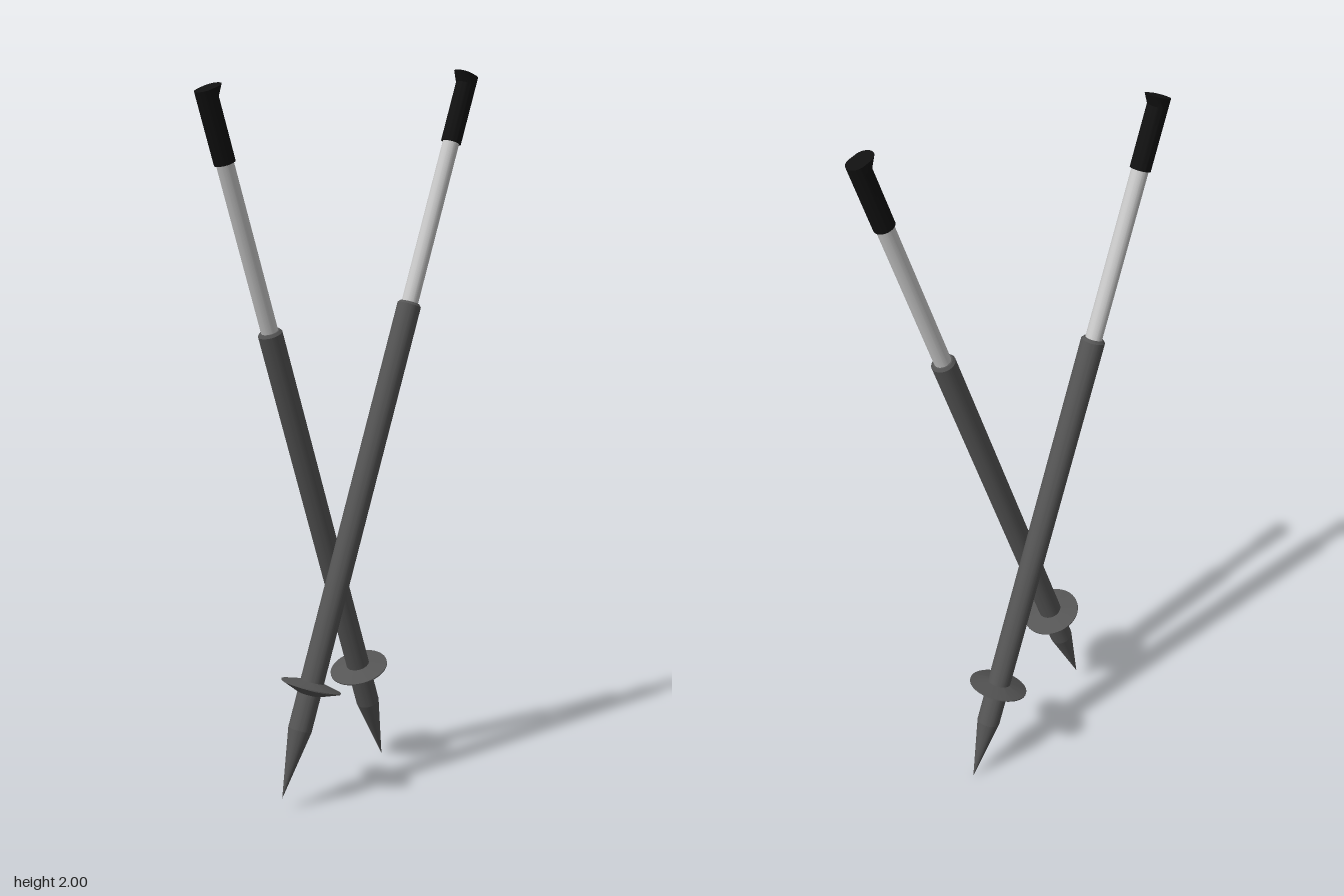
import * as THREE from 'three';
import { toCreasedNormals } from 'three/addons/utils/BufferGeometryUtils.js';

const dark = new THREE.MeshStandardMaterial({ color: 0x555555 });
const black = new THREE.MeshStandardMaterial({ color: 0x111111 });
const grey = new THREE.MeshStandardMaterial({ color: 0xcccccc });

// Turned part from a bottom-to-top profile of [radius, height]
function turned(name, profile, material) {
  const points = profile.map(([r, h]) => new THREE.Vector2(r, h));
  const mesh = new THREE.Mesh(toCreasedNormals(new THREE.LatheGeometry(points, 48), 0.16), material);
  mesh.name = name;
  return mesh;
}

// Grip whose top rim is pulled out to one side as a small beak
function grip(bottom, top) {
  const r = 0.028, beak = 0.019;
  const geometry = new THREE.LatheGeometry(
    [[0, bottom], [r, bottom], [r, top - 0.026], [r, top], [0, top]].map(([x, y]) => new THREE.Vector2(x, y)), 48);
  const p = geometry.attributes.position;
  for (let i = 0; i < p.count; i++) {
    if (p.getY(i) > top - 0.001 && p.getZ(i) > 0.001) p.setZ(i, p.getZ(i) + beak);
  }
  const mesh = new THREE.Mesh(toCreasedNormals(geometry, 0.5), black);
  mesh.name = 'grip';
  return mesh;
}

// One pole from tip to top, with the beak facing the given side
function pole(name, tip, top, beakSide) {
  const group = new THREE.Group();
  group.name = name;
  const axis = top.clone().sub(tip);
  const length = axis.length();
  axis.normalize();

  group.add(
    // Outer tube with its pointed tip
    turned('lowerShaft', [[0, 0], [0.033, 0.195], [0.033, 1.398], [0.027, 1.405], [0, 1.405]], dark),
    // Thin-edged basket
    turned('basket', [[0.03, 0.294], [0.084, 0.315], [0.084, 0.318], [0.03, 0.331]], dark),
    turned('upperShaft', [[0.023, 1.39], [0.023, length - 0.18]], grey),
    grip(length - 0.192, length),
  );

  const side = new THREE.Vector3(0, 0, beakSide);
  side.addScaledVector(axis, -side.dot(axis)).normalize();
  const across = new THREE.Vector3().crossVectors(axis, side);
  group.quaternion.setFromRotationMatrix(new THREE.Matrix4().makeBasis(across, axis, side));
  group.position.copy(tip);
  return group;
}

export function createModel() {
  const model = new THREE.Group();
  model.name = 'trekkingPoles';
  model.add(
    pole('rightPole', new THREE.Vector3(-0.073, 0, -0.294), new THREE.Vector3(-0.005, 1.931, 0.432), -1),
    pole('leftPole', new THREE.Vector3(0.026, 0.036, 0.214), new THREE.Vector3(0.115, 1.984, -0.426), 1),
  );
  return model;
}
